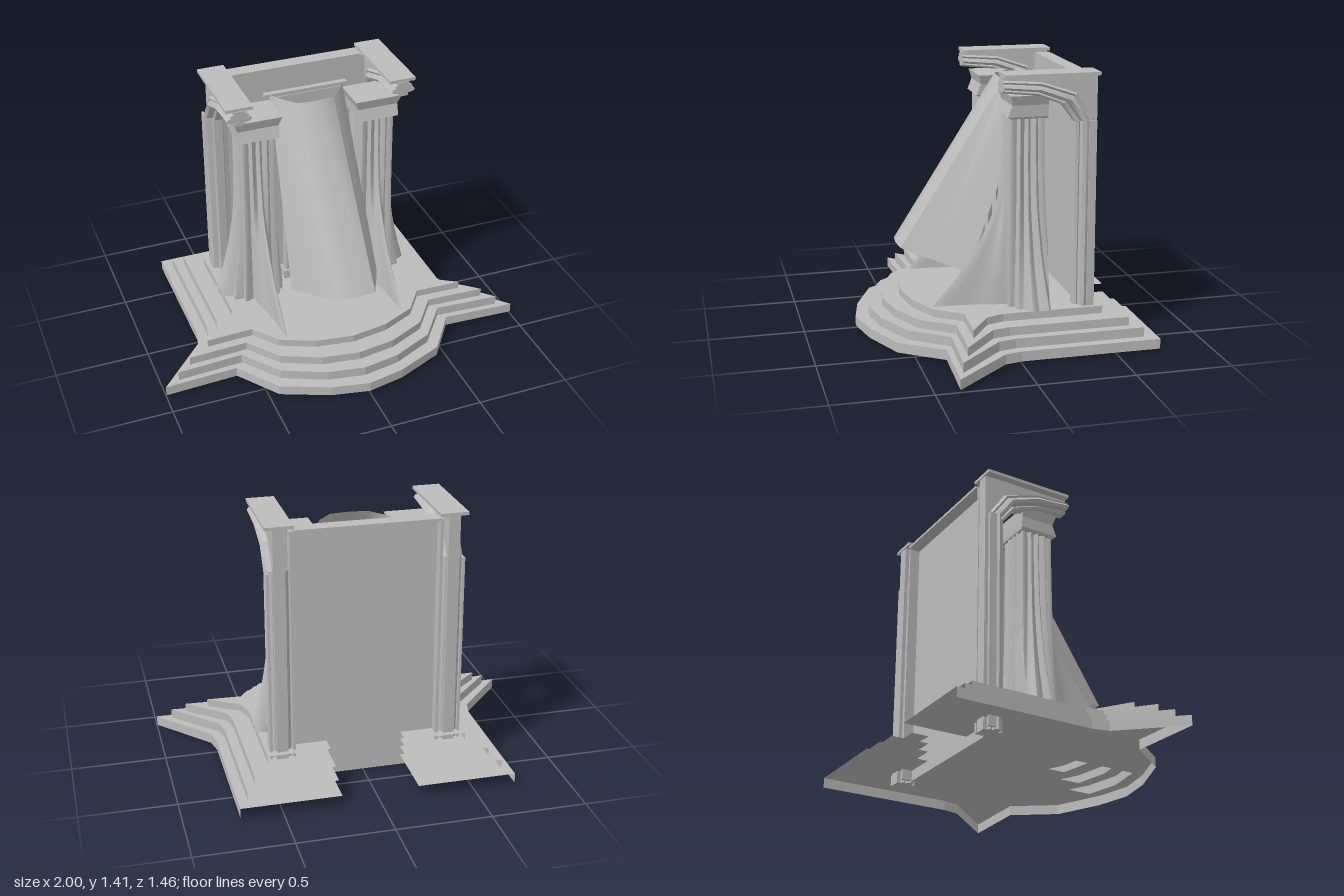
import * as THREE from 'three';
import { toCreasedNormals } from 'three/addons/utils/BufferGeometryUtils.js';

const stone = new THREE.MeshStandardMaterial({ color: 0xbcbcbc, side: THREE.DoubleSide });
stone.name = 'grey stone';

function add(parent, name, geometry) {
  const mesh = new THREE.Mesh(geometry, stone);
  mesh.name = name;
  parent.add(mesh);
  return mesh;
}

// Box given by its limits on each axis
function box(parent, name, x0, x1, y0, y1, z0, z1) {
  const g = new THREE.BoxGeometry(x1 - x0, y1 - y0, z1 - z0);
  g.translate((x0 + x1) / 2, (y0 + y1) / 2, (z0 + z1) / 2);
  return add(parent, name, g);
}

// Surface through rows of [x, y, z] points
function loft(rows, closed, crease) {
  const n = rows[0].length, index = [];
  for (let r = 0; r < rows.length - 1; r++) {
    for (let i = 0; i < (closed ? n : n - 1); i++) {
      const a = r * n + i, b = r * n + (i + 1) % n;
      index.push(a, b, b + n, a, b + n, a + n);
    }
  }
  const g = new THREE.BufferGeometry();
  g.setAttribute('position', new THREE.Float32BufferAttribute(rows.flat(2), 3));
  g.setIndex(index);
  return toCreasedNormals(g, crease);
}

// Flat horizontal sheet from [x, z] points
function sheet(points, y) {
  const g = new THREE.ShapeGeometry(new THREE.Shape(points.map(([x, z]) => new THREE.Vector2(x, -z))));
  g.rotateX(-Math.PI / 2);
  return g.translate(0, y, 0);
}

// Half outlines of the steps, from the back round to the front centre
const steps = [
  { y0: 0.012, y1: 0.065, p: [[0.2, -0.73], [0.72, -0.73], [0.72, 0], [0.74, 0.09], [1, 0.378], [0.61, 0.36], [0.45, 0.58], [0.2, 0.685], [0, 0.725]] },
  { y0: 0.065, y1: 0.115, p: [[0.2, -0.66], [0.67, -0.66], [0.67, 0.02], [0.69, 0.11], [0.92, 0.345], [0.57, 0.325], [0.42, 0.52], [0.2, 0.62], [0, 0.655]] },
  { y0: 0.115, y1: 0.16, p: [[0.2, -0.595], [0.62, -0.595], [0.62, 0.04], [0.64, 0.13], [0.845, 0.305], [0.53, 0.29], [0.4, 0.46], [0.2, 0.55], [0, 0.58]] },
  { y0: 0.16, y1: 0.2, p: [[0.2, -0.48], [0.53, -0.48], [0.53, 0.05], [0.56, 0.14], [0.73, 0.25], [0.48, 0.24], [0.38, 0.375], [0.2, 0.455], [0, 0.485]] },
];

function buildSteps(group) {
  steps.forEach(({ y0, y1, p }, k) => {
    const walls = p.slice(1);
    const front = p[7][1], mid = p[8][1], next = steps[k + 1];
    for (const s of [1, -1]) {
      add(group, 'stepTread', sheet(p.slice(0, 8).map(([x, z]) => [s * x, z]), y1));
      add(group, 'stepRiser', loft([y0, y1].map(y => walls.map(([x, z]) => [s * x, y, z])), false, 0.2));
    }
    // Middle strip of the tread; the top one reaches back as the floor
    const back = next ? [[0.2, next.p[7][1]], [0, next.p[8][1]], [-0.2, next.p[7][1]]] : [[0.2, -0.375], [-0.2, -0.375]];
    add(group, next ? 'middleTread' : 'floor', sheet([[-0.2, front], [0, mid], [0.2, front], ...back], y1));
  });
}

// Moulded rear pillar that bends forward into a half arch
function buildArch(side) {
  const inner = [[-0.34, 0], [-0.34, 1.16], [-0.27, 1.25], [-0.14, 1.3], [0.04, 1.32]];
  const outer = [[-0.43, 0], [-0.43, 1.18], [-0.34, 1.31], [-0.16, 1.37], [0.04, 1.385]];
  const half = [[0.022, 0], [0.03, 0.16], [0.022, 0.25], [0.055, 0.32], [0.066, 0.5], [0.055, 0.7], [0.04, 0.74], [0.05, 0.88], [0.035, 1]];
  const profile = [...half, ...half.slice().reverse().map(([x, t]) => [-x, t])];
  const rows = inner.map(([z, y], i) => profile.map(([x, t]) => [
    0.445 + x, y + (outer[i][1] - y) * t, z + (outer[i][0] - z) * t]));
  add(side, 'archMoulding', loft(rows, true, 0.4));
  for (const [row, name] of [[rows[0], 'pillarFoot'], [rows[4], 'archEnd']]) {
    const shape = new THREE.Shape(row.map(([x, y, z]) => new THREE.Vector2(x, name === 'archEnd' ? y : -z)));
    const g = new THREE.ShapeGeometry(shape);
    if (name === 'archEnd') g.translate(0, 0, 0.04);
    else g.rotateX(-Math.PI / 2);
    add(side, name, g);
  }
  // Web that fills the corner behind the arch
  const web = new THREE.Shape([...outer, [0.04, 1.4], [-0.45, 1.4], [-0.45, 0]].map(([z, y]) => new THREE.Vector2(-z, y)));
  const g = new THREE.ExtrudeGeometry(web, { depth: 0.06, bevelEnabled: false });
  g.rotateY(Math.PI / 2).translate(0.415, 0, 0);
  add(side, 'archWeb', g);
  box(side, 'archCap', 0.37, 0.515, 1.398, 1.415, -0.455, 0.035);
  box(side, 'pillarOuterRib', 0.495, 0.508, 0.01, 1.17, -0.44, -0.4);
  box(side, 'pillarInnerRib', 0.375, 0.39, 0.01, 1.38, -0.44, -0.385);
}

// Front column: pleated drape that sweeps out at the foot, with a capital
function buildColumn(side) {
  const cx = 0.33, cz = -0.105, sides = 96;
  const levels = [[1.19, 0], [1, 0.005], [0.8, 0.025], [0.7, 0.05], [0.625, 0.08], [0.5, 0.14], [0.42, 0.19], [0.34, 0.25], [0.27, 0.31], [0.2, 0.372]];
  const rows = levels.map(([y, sweep]) => {
    const row = [];
    for (let i = 0; i < sides; i++) {
      const a = i / sides * Math.PI * 2;           // 0 faces the front, PI/2 outward
      const c = Math.cos(a), s = Math.sin(a);
      const square = 0.09 / Math.pow(c ** 8 + s ** 8, 1 / 8);
      const pleat = (0.009 + 0.015 * sweep) * Math.cos(a * 16);
      const d = a > Math.PI ? a - Math.PI * 2 : a;
      const tongue = sweep * Math.exp(-((d / 0.3) ** 2));
      const flare = 0.33 * sweep * Math.exp(-(((d - 1.85) / 0.75) ** 2));
      const inward = 0.11 * sweep * Math.exp(-(((d + 1.6) / 0.6) ** 2));
      const r = Math.min(square, 0.115) + pleat + flare + inward;
      row.push([cx + s * r, y, Math.max(cz + c * r + tongue, -0.21)]);
    }
    return row;
  });
  add(side, 'drapedColumn', loft(rows, true, 0.7));
  const ring = (h, y, f = h) => [[cx - h, y, cz + f], [cx + h, y, cz + f], [cx + h, y, cz - h], [cx - h, y, cz - h]];
  add(side, 'capital', loft([ring(0, 1.18), ring(0.1, 1.18, 0.09), ring(0.108, 1.19), ring(0.11, 1.25, 0.085), ring(0.128, 1.3, 0.098), ring(0, 1.3)]
    .map(r => r.map(([x, y, z]) => [x, y, Math.max(z, -0.207)])), true, 0.2));
}

// Leaning curved canopy, lofted from its upper edge to its lower edge
function buildCanopy(group) {
  const top = [[-0.2, 1.33, -0.2], [-0.165, 1.33, -0.14], [-0.1, 1.33, -0.065], [0, 1.33, -0.055], [0.1, 1.33, -0.065], [0.165, 1.33, -0.14], [0.2, 1.33, -0.2]];
  const low = [[-0.23, 0.35, 0.17], [-0.165, 0.405, 0.335], [-0.09, 0.46, 0.495], [0, 0.46, 0.503], [0.115, 0.46, 0.495], [0.19, 0.405, 0.335], [0.265, 0.345, 0.17]];
  add(group, 'canopy', loft([top, low], false, 0.9));
}

// Narrow screen, cornice and small posts beneath the canopy
function buildScreen(group) {
  box(group, 'screen', -0.2, 0.2, 0.2, 1.31, -0.222, -0.2);
  box(group, 'screenCornice', -0.23, 0.23, 1.31, 1.33, -0.235, -0.205);
  box(group, 'screenPanel', -0.08, 0.08, 0.2, 1.22, -0.2, -0.185);
  for (const s of [1, -1]) {
    for (const [x, r] of [[0.1, 0.014], [0.14, 0.018]]) {
      const post = new THREE.CylinderGeometry(r, r, 1, 8);
      post.translate(s * x, 0.72, -0.16);
      add(group, 'smallPost', post);
    }
    box(group, 'postBase', s * 0.12 - 0.045, s * 0.12 + 0.045, 0.2, 0.25, -0.2, -0.13);
    box(group, 'postCapital', s * 0.12 - 0.045, s * 0.12 + 0.045, 1.21, 1.25, -0.2, -0.13);
  }
}

export function createModel() {
  const model = new THREE.Group();
  model.name = 'steppedPortal';
  const base = new THREE.Group();
  base.name = 'steppedBase';
  model.add(base);
  buildSteps(base);
  // Rear wall and its lintel
  box(model, 'rearWall', -0.4, 0.4, 0.008, 1.38, -0.385, -0.372);
  box(model, 'lintel', -0.375, 0.375, 1.375, 1.39, -0.45, -0.37);
  for (const s of [1, -1]) {
    const side = new THREE.Group();
    side.name = s > 0 ? 'leftSide' : 'rightSide';
    buildArch(side);
    buildColumn(side);
    side.scale.x = s;
    model.add(side);
  }
  buildCanopy(model);
  buildScreen(model);
  return model;
}
